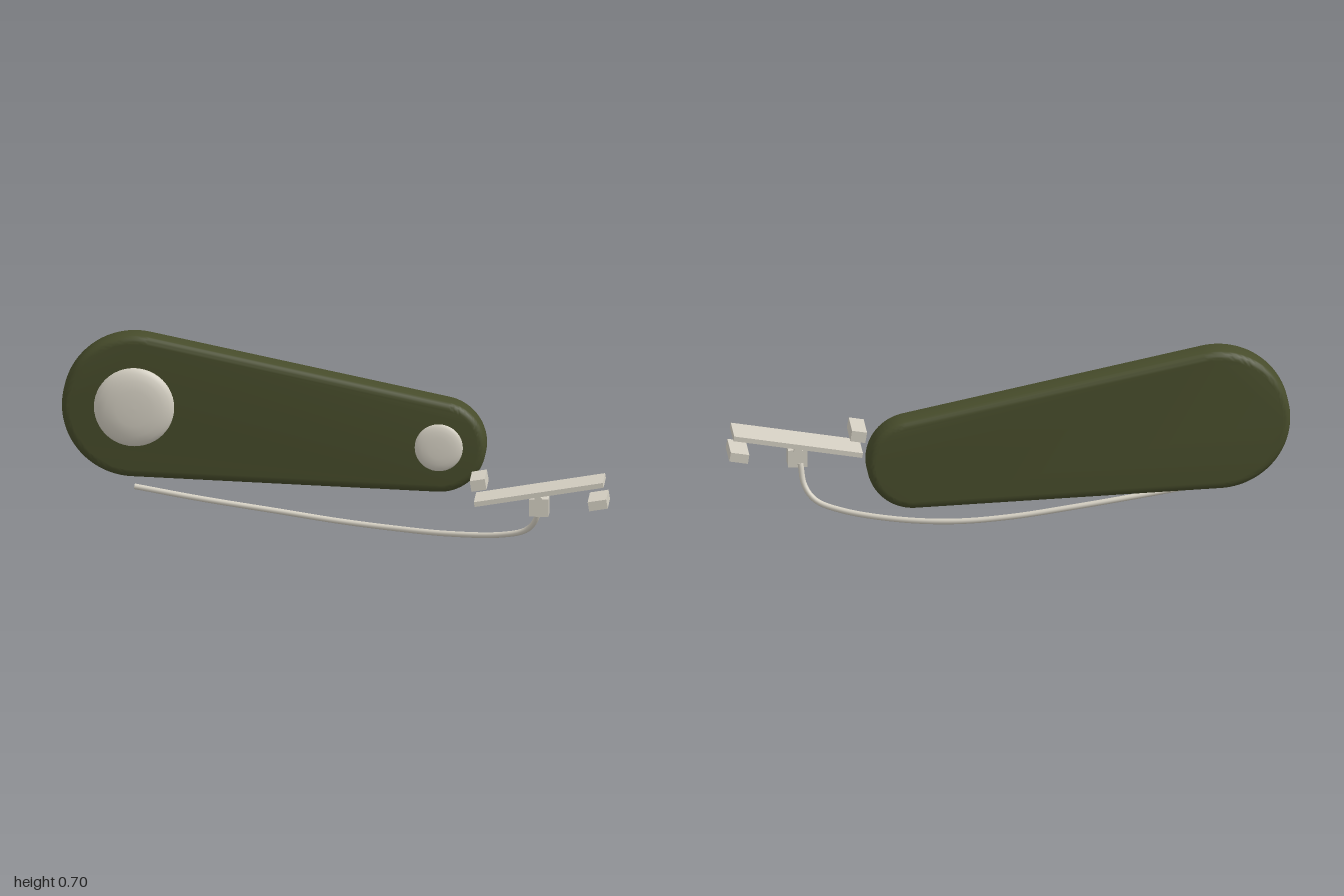
import * as THREE from 'three';
import { toCreasedNormals } from 'three/addons/utils/BufferGeometryUtils.js';

const V = (x, y, z) => new THREE.Vector3(x, y, z);

// Rounded, tapering outline: two circles joined by their common tangents
function taperedOutline(big, small, inset) {
  const dx = small.x - big.x, dy = small.y - big.y;
  const axis = Math.atan2(dy, dx);
  const spread = Math.acos((big.r - small.r) / Math.hypot(dx, dy));
  const shape = new THREE.Shape();
  shape.absarc(big.x, big.y, big.r - inset, axis + spread, axis - spread + Math.PI * 2, false);
  shape.absarc(small.x, small.y, small.r - inset, axis - spread, axis + spread, false);
  return shape;
}

export function createModel() {
  const group = new THREE.Group();
  const green = new THREE.MeshStandardMaterial({ color: 0x474c2b });
  green.name = 'olive green';
  const ivory = new THREE.MeshStandardMaterial({ color: 0xd4cfc2 });
  ivory.name = 'warm ivory';

  const add = (name, geometry, material, x = 0, y = 0, z = 0, tilt = 0) => {
    const mesh = new THREE.Mesh(geometry, material);
    mesh.name = name;
    mesh.position.set(x, y, z);
    mesh.rotation.z = tilt;
    group.add(mesh);
    return mesh;
  };

  // Housing with softly rounded rims
  const bevel = 0.028, back = -0.284, front = -0.158;
  const big = { x: -0.738, y: 0.437, r: 0.262 };
  const small = { x: 0.362, y: 0.301, r: 0.169 };
  const housing = new THREE.ExtrudeGeometry(taperedOutline(big, small, bevel), {
    depth: front - back - 2 * bevel, bevelThickness: bevel, bevelSize: bevel,
    bevelSegments: 6, curveSegments: 32,
  });
  add('housing', toCreasedNormals(housing, 0.6), green, 0, 0, back + bevel);

  // Domed caps on the front of the housing
  const cap = (name, c, radius, height) => {
    const profile = [[1, -0.2], [1, 0], [0.96, 0.25], [0.87, 0.5], [0.7, 0.8], [0.45, 0.94], [0.2, 0.99], [0, 1]]
      .map(([r, h]) => new THREE.Vector2(r * radius, h * height));
    const geometry = new THREE.LatheGeometry(profile, 48);
    geometry.rotateX(Math.PI / 2);
    add(name, geometry, ivory, c.x, c.y, front);
  };
  cap('largeCap', big, 0.145, 0.033);
  cap('smallCap', small, 0.087, 0.016);

  // Cable sweeping down and forward to the pedal, with closed ends
  const path = new THREE.CatmullRomCurve3([
    V(-0.735, 0.152, -0.124), V(-0.5, 0.111, -0.12), V(-0.2, 0.065, -0.12),
    V(0, 0.036, -0.113), V(0.2, 0.017, -0.092), V(0.4, 0.012, -0.038),
    V(0.6, 0.028, 0.033), V(0.69, 0.056, 0.07), V(0.728, 0.105, 0.098), V(0.74, 0.18, 0.12),
  ]);
  const cableRadius = 0.0105;
  add('cable', new THREE.TubeGeometry(path, 96, cableRadius, 12), ivory);
  for (const t of [0, 1]) {
    const p = path.getPoint(t);
    const end = add('cableEnd', new THREE.CircleGeometry(cableRadius, 12), ivory, p.x, p.y, p.z);
    const out = path.getTangent(t).multiplyScalar(t ? 1 : -1);
    end.quaternion.setFromUnitVectors(V(0, 0, 1), out);
  }

  // Rocking pedal: plate, upper and lower stops, pivot block and pin
  const pedalZ = 0.209, tilt = 0.165;
  add('pedalPlate', new THREE.BoxGeometry(0.472, 0.018, 0.153), ivory, 0.747, 0.238, pedalZ, tilt);
  add('upperStop', new THREE.BoxGeometry(0.055, 0.04, 0.148), ivory, 0.528, 0.27, pedalZ, tilt);
  add('lowerStop', new THREE.BoxGeometry(0.068, 0.034, 0.153), ivory, 0.96, 0.202, pedalZ, tilt);
  add('pivotBlock', new THREE.BoxGeometry(0.07, 0.064, 0.076), ivory, 0.745, 0.18, pedalZ);
  const pin = new THREE.CylinderGeometry(0.016, 0.016, 0.094, 20);
  pin.rotateX(Math.PI / 2);
  add('pivotPin', pin, ivory, 0.745, 0.208, pedalZ);

  return group;
}
